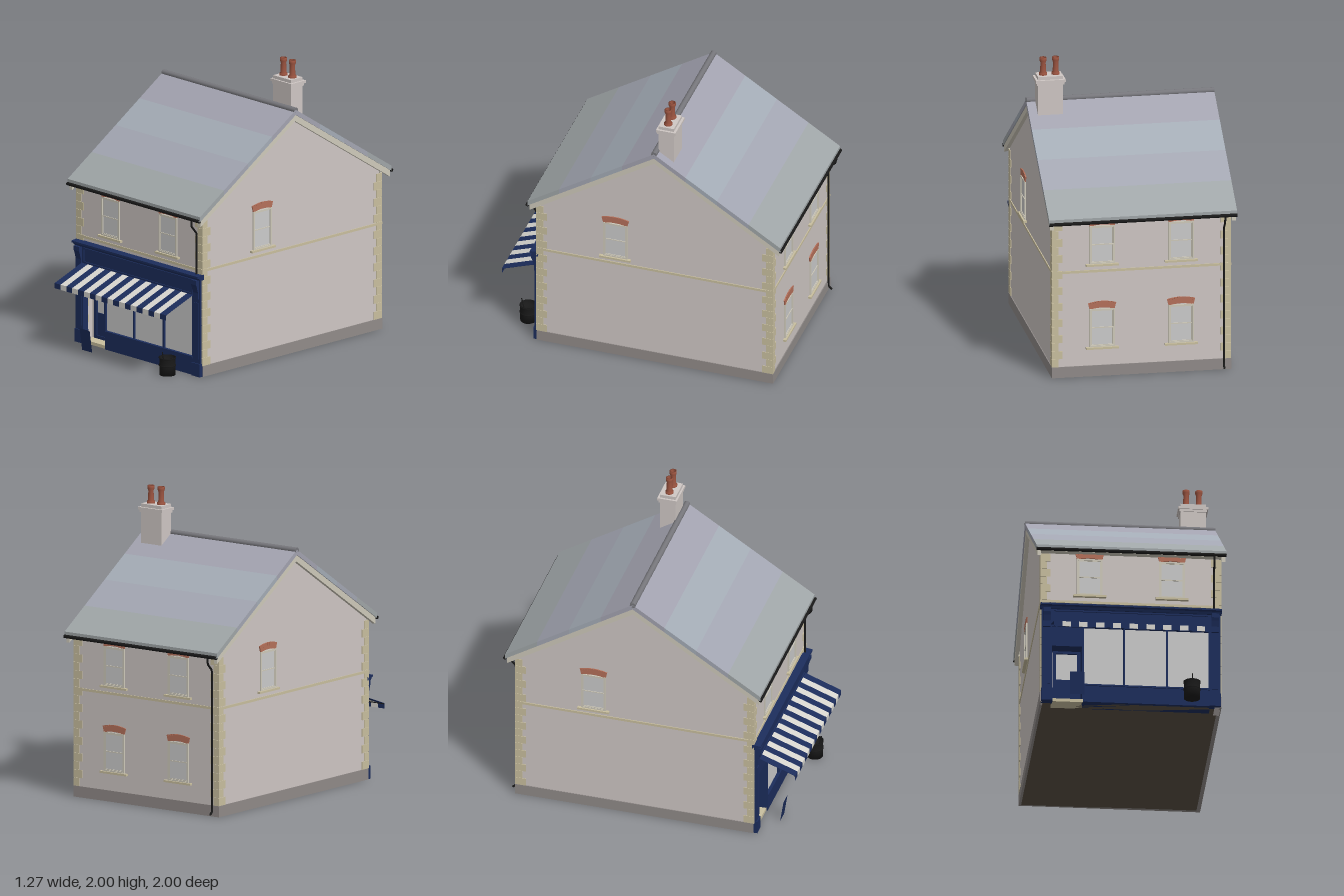
import * as THREE from 'three';

const mat = (color, side = THREE.FrontSide) => new THREE.MeshStandardMaterial({ color, side });
const M = {
  wall: mat(0xcfc7c4), plinth: mat(0x918b89), stone: mat(0xc9bf9f), cream: mat(0xcfcabb), brick: mat(0xb5705a),
  glass: mat(0xd3d6d6), navy: mat(0x1c2d5c), navyThin: mat(0x1c2d5c, THREE.DoubleSide), canvas: mat(0xd8d6d0),
  black: mat(0x191919, THREE.DoubleSide), pot: mat(0x9c5440, THREE.DoubleSide), ridge: mat(0x77777c),
  floor: mat(0x5a5044), gold: mat(0xb39a58),
};
const SLATES = [0xa0a6a8, 0xa3a6b2, 0xa4acb6, 0xa3a3b0].map((c) => mat(c));

export function createModel() {
  const model = new THREE.Group();
  model.name = 'cornerShop';

  const add = (name, geo, material, parent = model) => {
    const mesh = new THREE.Mesh(geo, material);
    mesh.name = name;
    parent.add(mesh);
    return mesh;
  };
  // Box given by its limits
  const box = (name, x0, x1, y0, y1, z0, z1, material, parent) => {
    const g = new THREE.BoxGeometry(x1 - x0, y1 - y0, z1 - z0);
    g.translate((x0 + x1) / 2, (y0 + y1) / 2, (z0 + z1) / 2);
    return add(name, g, material, parent);
  };
  // Side profile of [z, y] points drawn out along x
  const prism = (name, pts, x0, x1, material, parent) => {
    const shape = new THREE.Shape(pts.map(([z, y]) => new THREE.Vector2(-z, y)));
    const g = new THREE.ExtrudeGeometry(shape, { depth: x1 - x0, bevelEnabled: false });
    g.rotateY(Math.PI / 2).translate(x0, 0, 0);
    return add(name, g, material, parent);
  };
  // Rectangular frame with an opening, lying in the xy plane
  const frame = (name, x0, x1, y0, y1, t, z0, z1, material, parent) => {
    const rect = (a, b, c, d) => [[a, c], [b, c], [b, d], [a, d]].map((p) => new THREE.Vector2(...p));
    const s = new THREE.Shape(rect(x0, x1, y0, y1));
    s.holes.push(new THREE.Path(rect(x0 + t, x1 - t, y0 + t, y1 - t)));
    const g = new THREE.ExtrudeGeometry(s, { depth: z1 - z0, bevelEnabled: false }).translate(0, 0, z0);
    return add(name, g, material, parent);
  };
  const pipe = (name, pts, r) => {
    const path = new THREE.CurvePath();
    const v = pts.map((p) => new THREE.Vector3(...p));
    for (let i = 1; i < v.length; i++) path.add(new THREE.LineCurve3(v[i - 1], v[i]));
    add(name, new THREE.TubeGeometry(path, 40, r, 8), M.black);
  };

  const FRONT = 0.73, BACK = -0.92, RIDGE = -0.1, SLOPE = 0.64;
  const roofY = (z, top) => top - Math.abs(z - RIDGE) * SLOPE;

  // Gabled body, set back at street level for the shop
  prism('walls', [[BACK, 0.004], [0.63, 0.004], [0.63, 0.56], [FRONT, 0.56], [FRONT, roofY(FRONT, 1.66)],
    [RIDGE, 1.66], [BACK, roofY(BACK, 1.66)]], -0.6, 0.6, M.wall);
  box('floor', -0.59, 0.59, 0, 0.006, -0.91, 0.72, M.floor);
  box('backPlinth', -0.606, 0.606, 0, 0.075, BACK - 0.006, BACK + 0.02, M.plinth);
  for (const s of [-1, 1]) {
    const [a, b] = s > 0 ? [0.56, 0.6] : [-0.6, -0.56];
    box('sideWallEnd', a, b, 0, 0.56, 0.6, FRONT, M.wall);
    const [c, d] = s > 0 ? [0.58, 0.606] : [-0.606, -0.58];
    box('sidePlinth', c, d, 0, 0.075, BACK, FRONT, M.plinth);
    box('sideStringCourse', c, d, 0.725, 0.742, BACK, FRONT, M.stone);
  }
  box('frontStringCourse', -0.606, 0.606, 0.725, 0.742, FRONT - 0.02, FRONT + 0.006, M.stone);
  box('backStringCourse', -0.606, 0.606, 0.725, 0.742, BACK - 0.006, BACK + 0.02, M.stone);

  // Corner stones, long and short in turn
  const quoins = new THREE.Group();
  quoins.name = 'quoins';
  model.add(quoins);
  for (const sx of [-1, 1]) for (const sz of [-1, 1]) for (let i = 0; i < 18; i++) {
    const lx = i % 2 ? 0.07 : 0.045, lz = i % 2 ? 0.045 : 0.07, h = 0.056;
    const y = 0.075 + i * h, zc = sz > 0 ? FRONT : BACK;
    const xs = [sx * 0.605, sx * (0.605 - lx)].sort((a, b) => a - b);
    const zs = [zc + sz * 0.005, zc - sz * lz].sort((a, b) => a - b);
    box('quoin', xs[0], xs[1], y, y + h - 0.002, zs[0], zs[1], M.stone, quoins);
  }

  // Sash window with stone sill and fanned brick arch
  const sash = (x, y, z, turn) => {
    const w = new THREE.Group();
    w.name = 'sashWindow';
    w.position.set(x, y, z);
    w.rotation.y = turn;
    model.add(w);
    box('glass', -0.08, 0.08, 0.015, 0.275, -0.01, 0.002, M.glass, w);
    frame('outerFrame', -0.086, 0.086, 0.012, 0.28, 0.011, -0.005, 0.01, M.cream, w);
    frame('lowerSash', -0.075, 0.075, 0.024, 0.152, 0.006, 0, 0.007, M.cream, w);
    frame('upperSash', -0.075, 0.075, 0.144, 0.27, 0.006, 0, 0.005, M.cream, w);
    box('sill', -0.11, 0.11, 0, 0.014, -0.01, 0.022, M.stone, w);
    for (let i = -5; i <= 5; i++) {
      const g = new THREE.BoxGeometry(0.0165, 0.045, 0.016);
      g.translate(0, 0.317, 0).rotateZ(-i * 0.052).translate(0, -0.007, 0);
      add('archBrick', g, M.brick, w);
    }
  };
  for (const x of [-0.275, 0.275]) {
    sash(x, 0.77, FRONT, 0);
    sash(x * 0.97, 0.77, BACK, Math.PI);
    sash(x * 0.97, 0.19, BACK, Math.PI);
  }
  sash(0.6, 0.77, 0.18, Math.PI / 2);
  sash(-0.6, 0.77, -0.38, -Math.PI / 2);

  // Roof slopes in four slate bands, with bargeboards, fascias and gutters
  for (const s of [-1, 1]) {
    const run = 0.885;
    for (let i = 0; i < 4; i++) {
      const z0 = RIDGE + s * run * (1 - i / 4), z1 = RIDGE + s * run * (1 - (i + 1) / 4);
      prism('slateBand', [[z0, roofY(z0, 1.69)], [z1, roofY(z1, 1.69)], [z1, roofY(z1, 1.655)], [z0, roofY(z0, 1.655)]],
        -0.635, 0.635, SLATES[i]);
    }
    const e = RIDGE + s * 0.875;
    for (const x of [-0.628, 0.602]) {
      prism('bargeboard', [[e, roofY(e, 1.656)], [RIDGE, 1.656], [RIDGE, 1.61], [e, roofY(e, 1.61)]], x, x + 0.026, M.cream);
    }
    const wallZ = s > 0 ? FRONT : BACK;
    prism('eavesBox', [[wallZ - s * 0.02, 1.085], [e, 1.085], [e, roofY(e, 1.657)], [wallZ - s * 0.02, 1.14]], -0.61, 0.61, M.cream);
    const gz = s > 0 ? 0.788 : -0.988;
    pipe('gutter', [[-0.635, 1.092, gz], [0.635, 1.092, gz]], 0.012);
  }
  add('ridgeTiles', new THREE.CylinderGeometry(0.02, 0.02, 1.27, 12).rotateZ(Math.PI / 2).translate(0, 1.685, RIDGE), M.ridge);
  pipe('frontDownpipe', [[0.555, 1.09, 0.788], [0.555, 1.045, 0.788], [0.555, 0.99, 0.742], [0.555, 0.69, 0.742]], 0.007);
  pipe('backDownpipe', [[-0.555, 1.09, -0.985], [-0.555, 1.045, -0.985], [-0.555, 0.99, -0.932],
    [-0.555, 0.035, -0.932], [-0.555, 0.015, -0.955]], 0.007);

  // Chimney with stepped cap and two pots
  box('chimneyStack', 0.405, 0.575, 1.55, 1.88, -0.22, -0.112, M.wall);
  box('chimneyCapLower', 0.398, 0.582, 1.822, 1.84, -0.228, -0.106, M.wall);
  box('chimneyCapUpper', 0.39, 0.59, 1.84, 1.858, -0.236, -0.1, M.wall);
  const potProfile = [[0.028, 1.88], [0.028, 1.893], [0.02, 1.9], [0.018, 1.965], [0.024, 1.98], [0.024, 2], [0.016, 2], [0.014, 1.9]];
  for (const x of [0.447, 0.532]) {
    const g = new THREE.LatheGeometry(potProfile.map((p) => new THREE.Vector2(...p)), 16);
    add('chimneyPot', g.translate(x, 0, -0.167), M.pot);
  }

  // Shopfront: pilasters, brackets, fascia and cornice
  for (const s of [-1, 1]) {
    const c = s * 0.562;
    box('pilaster', c - 0.034, c + 0.034, 0, 0.7, 0.7, 0.748, M.navy);
    box('pilasterBase', c - 0.038, c + 0.038, 0, 0.09, 0.7, 0.756, M.navy);
    box('pilasterPanel', c - 0.02, c + 0.02, 0.12, 0.51, 0.74, 0.753, M.navy);
    prism('bracket', [[0.74, 0.535], [0.757, 0.54], [0.757, 0.58], [0.768, 0.62], [0.776, 0.64], [0.776, 0.67], [0.74, 0.67]],
      c - 0.025, c + 0.025, M.navy);
  }
  box('signBoard', -0.53, 0.53, 0.545, 0.68, 0.71, 0.747, M.navy);
  frame('signMoulding', -0.525, 0.525, 0.56, 0.665, 0.01, 0.745, 0.755, M.navy);
  prism('cornice', [[0.72, 0.67], [0.757, 0.67], [0.765, 0.685], [0.78, 0.69], [0.78, 0.702], [0.72, 0.708]], -0.605, 0.605, M.navy);

  // Display windows over a low panelled base
  box('stallRiser', -0.32, 0.53, 0, 0.125, 0.63, 0.745, M.navy);
  box('displayGlass', -0.315, 0.53, 0.12, 0.55, 0.722, 0.73, M.glass);
  box('displaySill', -0.32, 0.53, 0.117, 0.129, 0.72, 0.752, M.navy);
  for (const x of [-0.32, -0.045, 0.24, 0.524]) box('mullion', x - 0.006, x + 0.006, 0.12, 0.55, 0.715, 0.745, M.navy);
  box('porchSideWall', -0.326, -0.314, 0, 0.55, 0.63, 0.73, M.navy);

  // Recessed door
  box('doorStep', -0.53, -0.32, 0, 0.022, 0.63, 0.735, M.stone);
  box('doorPanel', -0.51, -0.335, 0.022, 0.2, 0.63, 0.648, M.navy);
  frame('doorFrame', -0.515, -0.33, 0.022, 0.41, 0.022, 0.63, 0.655, M.navy);
  box('doorGlass', -0.495, -0.35, 0.2, 0.39, 0.63, 0.642, M.glass);
  box('doorHead', -0.53, -0.32, 0.405, 0.55, 0.63, 0.74, M.navy);
  add('doorKnob', new THREE.SphereGeometry(0.007, 10, 8).translate(-0.355, 0.18, 0.66), M.gold);

  // Striped awning with hanging front edge
  const awning = new THREE.Group();
  awning.name = 'awning';
  model.add(awning);
  const stripe = 1.066 / 19;
  for (let i = 0; i < 19; i++) {
    const x = -0.536 + i * stripe;
    prism('awningStripe', [[0.75, 0.557], [1, 0.466], [1, 0.43], [0.998, 0.43], [0.998, 0.464], [0.75, 0.554]],
      x, x + stripe, i % 2 ? M.canvas : M.navy, awning);
  }
  pipe('awningBar', [[-0.536, 0.463, 0.995], [0.53, 0.463, 0.995]], 0.004);

  // Pavement sign and bin
  const sign = add('pavementSign', new THREE.PlaneGeometry(0.096, 0.156).translate(0, 0.078, 0), M.navyThin);
  sign.position.set(-0.37, 0, 0.86);
  sign.rotation.x = 0.15;
  const binProfile = [[0, 0], [0.054, 0], [0.054, 0.06], [0.058, 0.063], [0.058, 0.069], [0.054, 0.072],
    [0.054, 0.112], [0.058, 0.115], [0.058, 0.122], [0.051, 0.122], [0.051, 0.085], [0, 0.085]];
  add('bin', new THREE.LatheGeometry(binProfile.map((p) => new THREE.Vector2(...p)), 24).translate(0.398, 0, 0.858), M.black);
  pipe('stickInBin', [[0.398, 0.08, 0.885], [0.398, 0.162, 0.905]], 0.004);

  return model;
}
